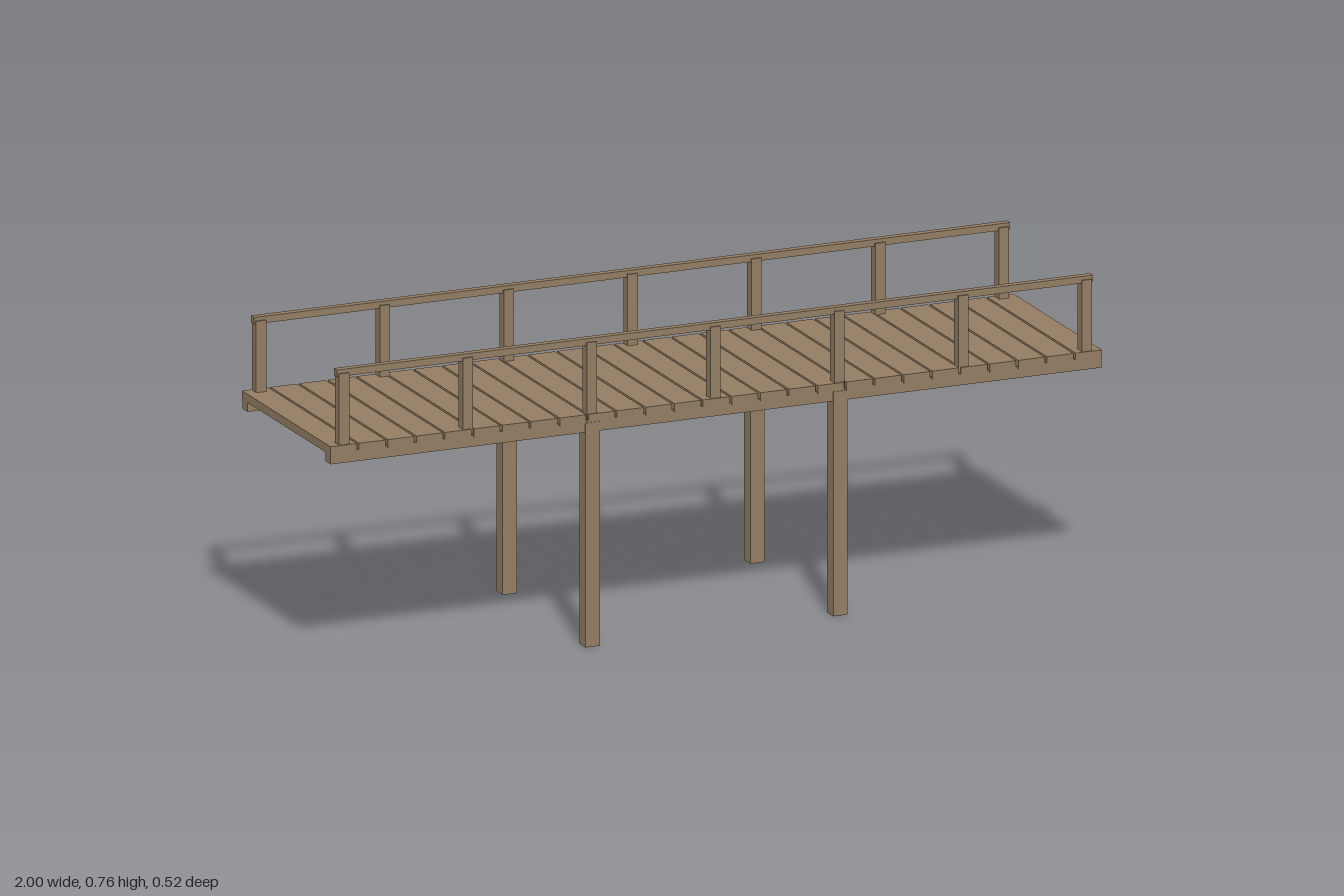
import * as THREE from 'three';

export function createModel() {
  const model = new THREE.Group();
  model.name = 'footbridge';
  const wood = new THREE.MeshStandardMaterial({ color: 0x937c62 });
  wood.name = 'weathered wood';

  // Adds a timber: size, then centre
  const timber = (name, [w, h, d], [x, y, z]) => {
    const mesh = new THREE.Mesh(new THREE.BoxGeometry(w, h, d), wood);
    mesh.name = name;
    mesh.position.set(x, y, z);
    model.add(mesh);
  };

  // Deck planks with narrow gaps
  const count = 27, gap = 0.006;
  const width = (2 - gap * (count - 1)) / count;
  for (let i = 0; i < count; i++) {
    const x = -1 + width / 2 + i * (width + gap);
    timber('deckPlank', [width, 0.021, 0.516], [x, 0.5635, 0]);
  }

  for (const side of [1, -1]) {
    const z = side * 0.2415;

    // Beam under the deck edge
    timber('sideBeam', [1.998, 0.028, 0.03], [0, 0.544, z]);

    // Legs down to the ground
    for (const x of [-0.321, 0.321]) {
      timber('leg', [0.037, 0.554, 0.036], [x, 0.277, z]);
    }

    // Railing posts and handrail
    for (let i = -3; i <= 3; i++) {
      timber('railingPost', [0.026, 0.19, 0.026], [i * 0.321, 0.655, z]);
    }
    timber('handrail', [1.96, 0.017, 0.018], [0, 0.7505, z]);
  }
  return model;
}
